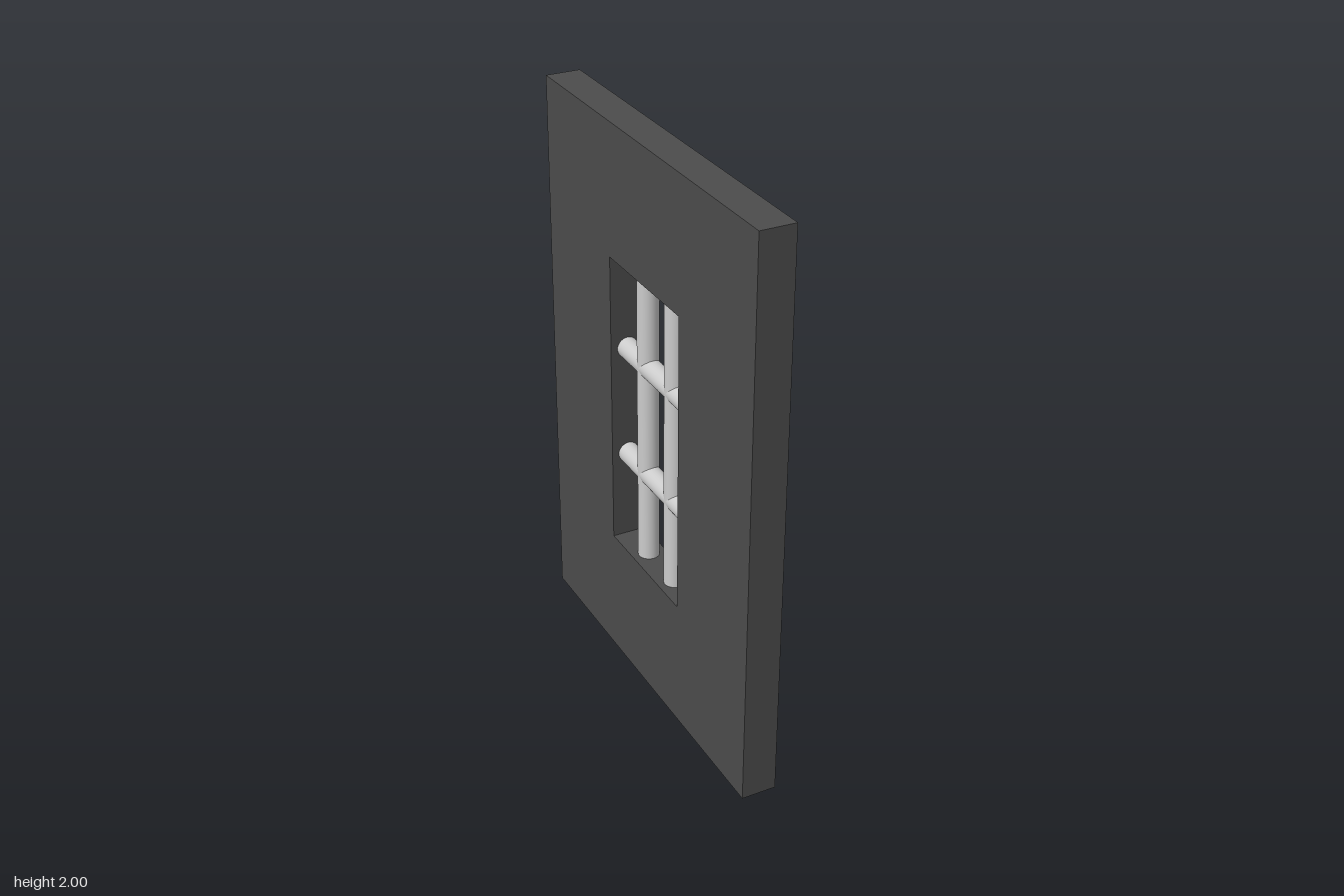
import * as THREE from 'three';

const HEIGHT = 2, HALF_WIDTH = 0.702, THICKNESS = 0.122;
const OPENING = { z0: -0.237, z1: 0.241, y0: 0.466, y1: 1.537 };
const BAR_RADIUS = 0.037;

function rectangle(path, z0, z1, y0, y1) {
  path.moveTo(z0, y0);
  path.lineTo(z1, y0);
  path.lineTo(z1, y1);
  path.lineTo(z0, y1);
  path.closePath();
  return path;
}

export function createModel() {
  const group = new THREE.Group();
  group.name = 'barredWindowWall';
  const wallMaterial = new THREE.MeshStandardMaterial({ color: 0x4c4c4c });
  const barMaterial = new THREE.MeshStandardMaterial({ color: 0xcccccc });

  // Wall slab with a rectangular opening, drawn in the z-y plane
  const outline = rectangle(new THREE.Shape(), -HALF_WIDTH, HALF_WIDTH, 0, HEIGHT);
  outline.holes.push(rectangle(new THREE.Path(), OPENING.z0, OPENING.z1, OPENING.y0, OPENING.y1));
  const wallGeometry = new THREE.ExtrudeGeometry(outline, { depth: THICKNESS, bevelEnabled: false });
  wallGeometry.translate(0, 0, -THICKNESS / 2).rotateY(-Math.PI / 2);
  const wall = new THREE.Mesh(wallGeometry, wallMaterial);
  wall.name = 'wall';
  group.add(wall);

  // Round bars spanning the opening
  const openingHeight = OPENING.y1 - OPENING.y0;
  const openingWidth = OPENING.z1 - OPENING.z0;
  const midY = (OPENING.y0 + OPENING.y1) / 2;
  const midZ = (OPENING.z0 + OPENING.z1) / 2;
  const addBar = (name, length, y, z, tilt) => {
    const bar = new THREE.Mesh(new THREE.CylinderGeometry(BAR_RADIUS, BAR_RADIUS, length, 32), barMaterial);
    bar.name = name;
    bar.position.set(0, y, z);
    bar.rotation.x = tilt;
    group.add(bar);
  };
  for (const z of [-0.085, 0.106]) addBar('verticalBar', openingHeight, midY, z, 0);
  for (const y of [0.793, 1.197]) addBar('horizontalBar', openingWidth, y, midZ, Math.PI / 2);

  return group;
}
